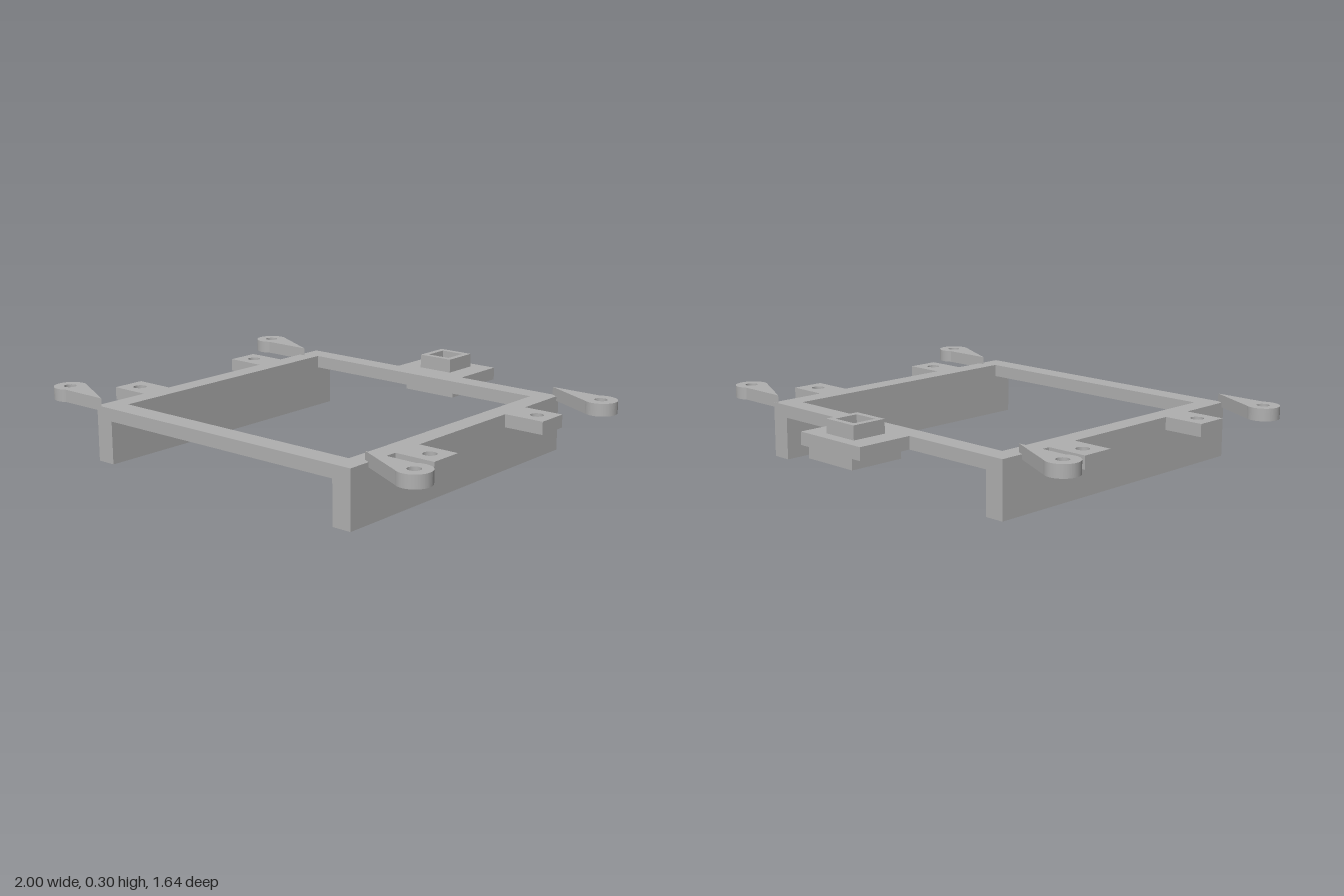
import * as THREE from 'three';

const grey = new THREE.MeshStandardMaterial({ color: 0xb0b0b0 });
grey.name = 'grey plastic';

// Rectangle in plan, given by x and z limits
function rect(x0, x1, z0, z1, Kind = THREE.Shape) {
  const r = new Kind();
  r.moveTo(x0, -z1);
  r.lineTo(x1, -z1);
  r.lineTo(x1, -z0);
  r.lineTo(x0, -z0);
  r.closePath();
  return r;
}

function roundHole(x, z, r) {
  return new THREE.Path().absarc(x, -z, r, 0, Math.PI * 2, true);
}

// Plan shape raised from y0 to y1
function plate(name, shape, y0, y1) {
  const geo = new THREE.ExtrudeGeometry(shape, { depth: y1 - y0, bevelEnabled: false, curveSegments: 24 });
  geo.rotateX(-Math.PI / 2);
  geo.translate(0, y0, 0);
  const mesh = new THREE.Mesh(geo, grey);
  mesh.name = name;
  return mesh;
}

export function createModel() {
  const model = new THREE.Group();
  model.name = 'mountingFrame';
  const under = 0.185, top = 0.24;

  // Cross bars between the side walls
  model.add(plate('frontBar', rect(-0.602, 0.602, 0.715, 0.808), under, top));
  model.add(plate('backBar', rect(-0.602, 0.602, -0.568, -0.48), under, top));

  for (const side of [1, -1]) {
    const label = side > 0 ? 'left' : 'right';

    // Tall side wall
    const wall = plate(label + 'Wall', rect(0.602, 0.688, -0.568, 0.808), 0, top);
    wall.rotation.y = side > 0 ? 0 : Math.PI;
    if (side < 0) wall.position.z = 0.24;
    model.add(wall);

    // Square screw tabs, drawn about their own z centre
    for (const z of [-0.24, 0.478]) {
      const shape = rect(0.688, 0.868, -0.073, 0.073);
      shape.holes.push(roundHole(0.793, 0, 0.028));
      const tab = plate(label + 'ScrewTab', shape, under, top);
      tab.position.z = z;
      tab.rotation.y = side > 0 ? 0 : Math.PI;
      model.add(tab);
    }

    // Raised corner ears with round ends
    for (const z of [-0.508, 0.75]) {
      const half = 0.058, r = 0.07, cx = 0.93;
      const a = Math.PI - Math.asin(half / r);
      const shape = new THREE.Shape();
      shape.moveTo(0.66, -half);
      shape.absarc(cx, 0, r, -a, a, false);
      shape.lineTo(0.66, half);
      shape.closePath();
      shape.holes.push(roundHole(cx, 0, 0.027));
      const ear = plate(label + 'CornerEar', shape, 0.22, 0.274);
      ear.position.z = z;
      ear.rotation.y = side > 0 ? 0 : Math.PI;
      model.add(ear);
    }
  }

  // Rear bracket with a through hole
  const cz = -0.69;
  const bracket = rect(-0.18, 0.18, -0.822, -0.568);
  bracket.holes.push(roundHole(0, cz, 0.035));
  model.add(plate('rearBracket', bracket, under, top));

  // Square collar on top of the bracket
  const collar = rect(-0.083, 0.083, cz - 0.08, cz + 0.08);
  collar.holes.push(rect(-0.056, 0.056, cz - 0.054, cz + 0.054, THREE.Path));
  model.add(plate('rearCollar', collar, top, 0.3));

  // Recessed pad under the bracket
  const pad = rect(-0.131, 0.131, -0.822, -0.568);
  pad.holes.push(rect(-0.078, 0.078, cz - 0.078, cz + 0.078, THREE.Path));
  model.add(plate('rearPad', pad, 0.139, under));

  return model;
}
